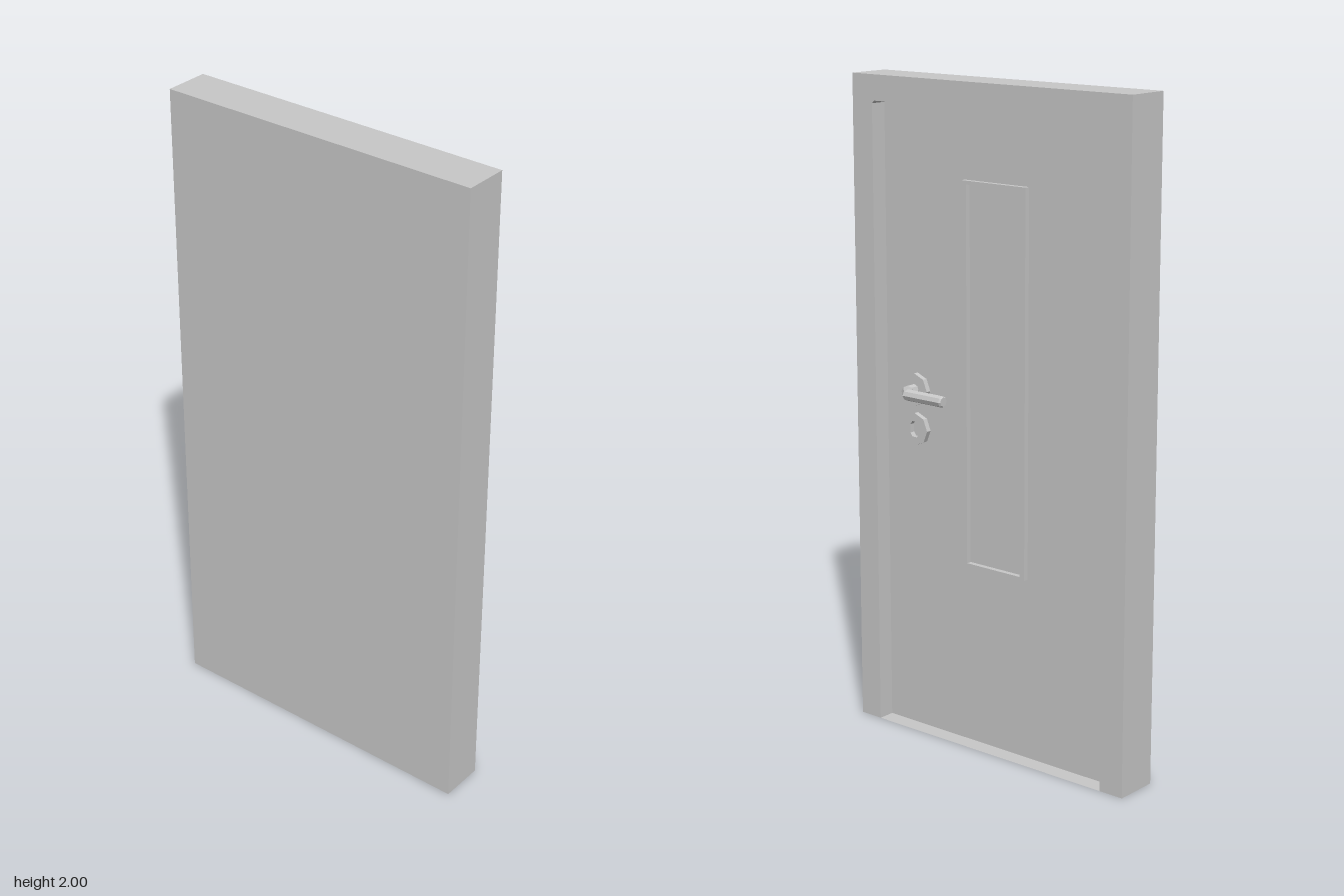
import * as THREE from 'three';

// Local frame: x across the door, y up, z outwards; the whole group is turned to face +x.
const BACK = -0.091, FRONT = 0.047, LEAF = -0.006, HALF = 0.51;
const grey = new THREE.MeshStandardMaterial({ color: 0xc8c8c8, flatShading: true, side: THREE.DoubleSide });
grey.name = 'plain grey';

function add(parent, name, geometry, x = 0, y = 0, z = 0) {
  const mesh = new THREE.Mesh(geometry, grey);
  mesh.name = name;
  mesh.position.set(x, y, z);
  parent.add(mesh);
  return mesh;
}

const toShape = (pts) => new THREE.Shape(pts.map(([x, y]) => new THREE.Vector2(x, y)));
const rect = (x0, y0, x1, y1) => [[x0, y0], [x1, y0], [x1, y1], [x0, y1]];
const octagon = (rx, ry) => Array.from({ length: 8 }, (_, i) => {
  const a = (i * Math.PI) / 4;
  return [rx * Math.cos(a), ry * Math.sin(a)];
});

// Joins neighbouring rings of 3D points with quads
function loft(rings, closed) {
  const pos = [];
  for (let i = 0; i + 1 < rings.length; i++) {
    const p = rings[i], q = rings[i + 1], n = p.length;
    for (let j = 0; j < (closed ? n : n - 1); j++) {
      const k = (j + 1) % n;
      pos.push(...p[j], ...p[k], ...q[k], ...p[j], ...q[k], ...q[j]);
    }
  }
  const g = new THREE.BufferGeometry();
  g.setAttribute('position', new THREE.Float32BufferAttribute(pos, 3));
  g.computeVertexNormals();
  return g;
}

// Wall standing along a 2D outline
const wall = (pts, z0, z1, closed) =>
  loft([z0, z1].map((z) => pts.map(([x, y]) => [x, y, z])), closed);

function ringPlate(outer, hole, depth) {
  const shape = toShape(outer);
  shape.holes.push(toShape(hole));
  return new THREE.ExtrudeGeometry(shape, { depth, bevelEnabled: false });
}

// Octagonal bar with mitred bends; path points are [x, z, radius]
function leverGeometry(path) {
  const dir = (a, b) => new THREE.Vector2(b[0] - a[0], b[1] - a[1]).normalize();
  const rings = path.map((p, i) => {
    const t0 = dir(path[Math.max(i - 1, 0)], path[Math.max(i, 1)]);
    const last = path.length - 1;
    const t1 = dir(path[Math.min(i, last - 1)], path[Math.min(i + 1, last)]);
    const t = t0.clone().add(t1).normalize();
    const stretch = 1 / t.dot(t0);
    return octagon(p[2] * stretch, p[2]).map(([n, y]) => [p[0] + n * t.y, y, p[1] - n * t.x]);
  });
  const end = path[path.length - 1];
  rings.push(Array.from({ length: 8 }, () => [end[0], 0, end[1]])); // tip cap
  return loft(rings, true);
}

export function createModel() {
  const model = new THREE.Group();
  model.name = 'door';
  const door = new THREE.Group();
  door.name = 'doorAssembly';
  door.rotation.y = Math.PI / 2;
  model.add(door);

  // Hollow casing, open underneath
  const casing = new THREE.Group();
  casing.name = 'casing';
  door.add(casing);
  add(casing, 'outerWalls', wall([[HALF, 0], [HALF, 2], [-HALF, 2], [-HALF, 0]], BACK, FRONT, false));
  add(casing, 'backPanel', new THREE.PlaneGeometry(HALF * 2, 2), 0, 1, BACK).rotation.y = Math.PI;

  // Front surround and recess, with slightly clipped upper corners
  const l = -0.433, r = 0.43, top = 1.924, c = 0.008;
  const opening = [[l, 0], [l, top - c], [l + c, top], [r - c, top], [r, top - c], [r, 0]];
  add(casing, 'frontSurround', new THREE.ShapeGeometry(toShape(
    [[-HALF, 0], ...opening, [HALF, 0], [HALF, 2], [-HALF, 2]])), 0, 0, FRONT);
  add(casing, 'recessAndThreshold', wall(opening, LEAF, FRONT, true));
  add(door, 'doorLeaf', new THREE.ShapeGeometry(toShape(opening)), 0, 0, LEAF);

  // Raised moulding around the window
  add(door, 'windowFrame', ringPlate(
    rect(-0.122, 0.56, 0.116, 1.715), rect(-0.104, 0.569, 0.098, 1.704), 0.016), 0, 0, LEAF);

  // Handle and keyhole plate
  const hx = -0.311, rad = 0.0175;
  const handle = new THREE.Group();
  handle.name = 'handle';
  door.add(handle);
  const rose = new THREE.ExtrudeGeometry(toShape(octagon(0.05, 0.05)), { depth: 0.016, bevelEnabled: false });
  add(handle, 'handleRose', rose, hx, 1.07, LEAF);
  add(handle, 'lever', leverGeometry([
    [hx, LEAF, rad], [hx, 0.04, rad], [hx + 0.032, 0.072, rad],
    [-0.145, 0.072, rad], [-0.14, 0.072, rad * 0.8]]), 0, 1.07, 0);
  const keyhole = [[-0.017, -0.013], [-0.009, -0.024], [0.009, -0.024], [0.017, -0.013],
    [0.017, 0.013], [0.009, 0.024], [-0.009, 0.024], [-0.017, 0.013]];
  add(door, 'keyholePlate', ringPlate(octagon(0.05, 0.05), keyhole, 0.016), hx, 0.948, LEAF);

  return model;
}
